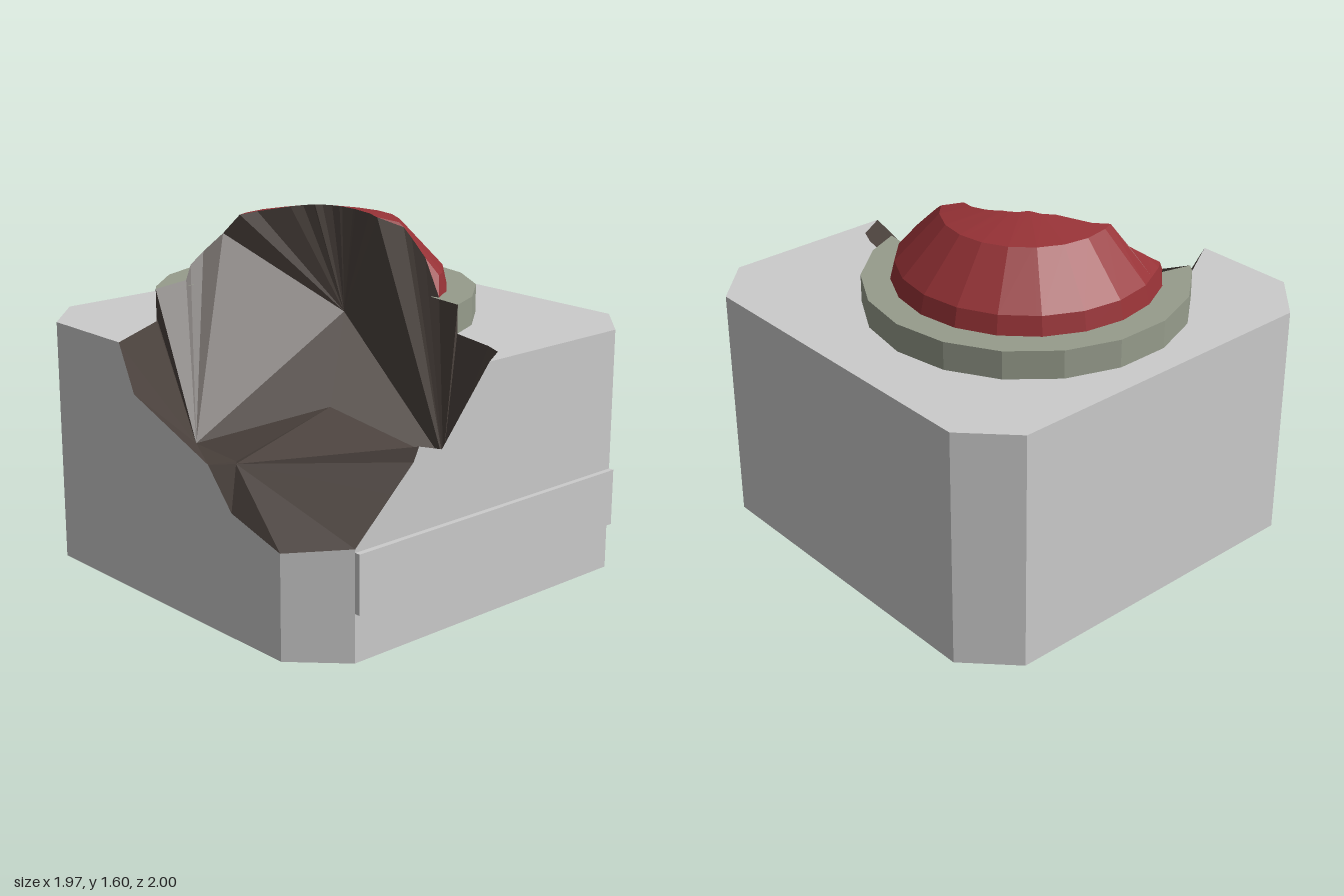
import * as THREE from 'three';

const TOP = 1.12, RING = 1.25, CZ = -0.14, D = Math.PI / 180;

function mesh(name, tris, color) {
  const g = new THREE.BufferGeometry();
  g.setAttribute('position', new THREE.Float32BufferAttribute(tris.flat(2), 3));
  g.computeVertexNormals();
  const m = new THREE.Mesh(g, new THREE.MeshStandardMaterial({ color, flatShading: true, side: THREE.DoubleSide }));
  m.name = name;
  return m;
}

// Triangulate a flat 3D outline, dropping the given axis (0 x, 1 y, 2 z)
function face(points, drop) {
  const [a, b] = [0, 1, 2].filter(i => i !== drop);
  const flat = points.map(p => new THREE.Vector2(p[a], p[b]));
  return THREE.ShapeUtils.triangulateShape(flat, []).map(t => t.map(i => points[i]));
}

const fan = (c, list) => list.slice(1).map((p, i) => [c, list[i], p]);

// Strips between neighbouring rows of equal length
function loft(rows) {
  const tris = [];
  for (let j = 0; j < rows.length - 1; j++)
    for (let i = 0; i < rows[j].length - 1; i++) {
      const [a, b, c, d] = [rows[j][i], rows[j][i + 1], rows[j + 1][i + 1], rows[j + 1][i]];
      tris.push([a, b, c], [a, c, d]);
    }
  return tris;
}

const polar = (r, t, y) => [r * Math.cos(t), y, CZ + r * Math.sin(t)];

// Height of the dome at a radius
const profile = [[0, 1.625], [0.38, 1.55], [0.58, 1.335], [0.6, RING]];
function lerp(table, x) {
  let i = 1;
  while (i < table.length - 1 && x > table[i][0]) i++;
  const [x0, y0] = table[i - 1], [x1, y1] = table[i];
  return y0 + (y1 - y0) * THREE.MathUtils.clamp((x - x0) / (x1 - x0), 0, 1);
}

export function createModel() {
  const group = new THREE.Group();
  const brown = 0x4b423d, grey = 0xcccccc;

  // Broken edge of the dome, as offsets from its axis
  const cut = [[-0.44, -0.4], [-0.39, -0.43], [-0.21, -0.415], [-0.17, -0.34], [0, -0.18], [0.075, -0.095],
    [0.15, -0.01], [0.18, 0.05], [0.18, 0.21], [0.25, 0.31], [0.26, 0.44], [0.24, 0.55]]
    .map(([x, z]) => [Math.atan2(z, x), Math.hypot(x, z)]);
  const t0 = cut[0][0], t1 = cut[cut.length - 1][0];
  const angles = cut.map(c => c[0]);
  for (let a = -126; a < 66; a += 18) angles.push(a * D);
  angles.sort((a, b) => a - b);

  // The dome keeps its 20-sided outline between the extra angles of the break
  const sides = t => {
    const k = t / (18 * D);
    return Math.cos(9 * D) / Math.cos((k - Math.floor(k) - 0.5) * 18 * D);
  };
  const edge = angles.map(t => {
    const r = Math.min(lerp(cut, t), 0.6);
    return polar(r, t, lerp(profile, r));
  });
  const domeRows = profile.slice(1).map(([r, y]) => angles.map((t, i) => {
    const rc = Math.min(lerp(cut, t), 0.6);
    return rc >= r * sides(t) ? edge[i] : polar(r * sides(t), t, y);
  }));
  group.add(mesh('dome', loft([edge, ...domeRows]), 0x963236));

  // Broken 18-sided collar around the dome
  const o0 = Math.atan2(-0.43, -0.6), o1 = Math.atan2(0.69, 0.2);
  const row = (r, y, lo, hi) => Array.from({ length: 13 }, (_, i) =>
    polar(r, THREE.MathUtils.clamp((i * 20 - 160) * D, lo, hi), y));
  const outerTop = row(0.73, RING, o0, o1), outerLow = row(0.73, TOP, o0, o1);
  group.add(mesh('collar', loft([row(0.56, RING, t0, t1), outerTop, outerLow]), 0x969c8c));

  // Outline of the break where it meets the block
  const backRim = [[-0.985, TOP, -0.3], [-0.64, TOP, -0.5], outerLow[0]];
  const sideRim = [outerLow[12], [0.15, TOP, 0.8], [0.11, TOP, 0.89], [-0.03, TOP, 0.975]];
  const frontRim = [[-0.03, TOP, 0.975], [-0.3, 0.8, 0.975], [-0.43, 0.84, 0.975], [-0.46, 0.78, 0.975],
    [-0.58, 0.67, 0.975], [-0.775, 0.49, 0.975]];
  const leftRim = [[-0.985, 0.465, 0.765], [-0.985, 0.55, 0.46], [-0.985, 0.72, 0.31], [-0.985, 0.91, -0.2], backRim[0]];

  // Chamfered block with one corner broken away
  const oct = [[0.775, 0.975], [0.985, 0.765], [0.985, -0.785], [0.775, -1], [-0.775, -1],
    [-0.985, -0.785], [-0.985, 0.765], [-0.775, 0.975]];
  const at = (i, y) => [oct[i][0], y, oct[i][1]];
  const body = [];
  for (let i = 0; i < 5; i++) body.push(...loft([[at(i, 0), at(i + 1, 0)], [at(i, TOP), at(i + 1, TOP)]]));
  body.push(...face([at(5, 0), at(6, 0), ...leftRim, at(5, TOP)], 0));
  body.push(...face([at(6, 0), at(7, 0), frontRim[5], leftRim[0]], 2));
  body.push(...face([at(7, 0), at(0, 0), at(0, TOP), ...frontRim], 2));
  body.push(...face(oct.map((_, i) => at(i, 0)), 1));
  body.push(...face([...[0, 1, 2, 3, 4, 5].map(i => at(i, TOP)), ...backRim,
    [-0.2, TOP, -0.6], [0.3, TOP, -0.2], [0.3, TOP, 0.3], ...sideRim], 1));
  group.add(mesh('block', body, grey));

  // Raw rock inside the break: fans from a few low points out to the rim
  const back = [-0.66, 0.62, -0.2], right = [0.17, 1.1, -0.14], pit = [-0.13, 0.75, 0.1];
  const front = [0.09, 0.57, 0.6], ridge = [-0.86, 0.715, 0.34], spur = [-0.91, 0.73, 0.4];
  const near = (x, z) => {
    const d = p => Math.hypot(p[0] - x, p[2] - CZ - z);
    return edge.reduce((best, p, i) => (d(p) < d(edge[best]) ? i : best), 0);
  };
  const i1 = near(-0.21, -0.415), i2 = near(0.18, 0.21);
  const rock = [
    ...fan(back, [leftRim[2], leftRim[3], ...backRim, outerTop[0], ...edge.slice(0, i1 + 1), right, pit, ridge, leftRim[2]]),
    ...fan(right, [...edge.slice(i1, i2 + 1), front, pit]),
    ...fan(front, [...edge.slice(i2), outerTop[12], ...sideRim, frontRim[1], spur, pit]),
    ...fan(spur, [...frontRim.slice(1), ...leftRim.slice(0, 3), ridge, pit]),
  ];
  group.add(mesh('brokenRock', rock, brown));

  // Raised strip on the front
  const panel = new THREE.Mesh(new THREE.BoxGeometry(1.55, 0.26, 0.035),
    new THREE.MeshStandardMaterial({ color: grey, flatShading: true }));
  panel.name = 'frontPanel';
  panel.position.set(0, 0.345, 0.9825);
  group.add(panel);
  return group;
}
